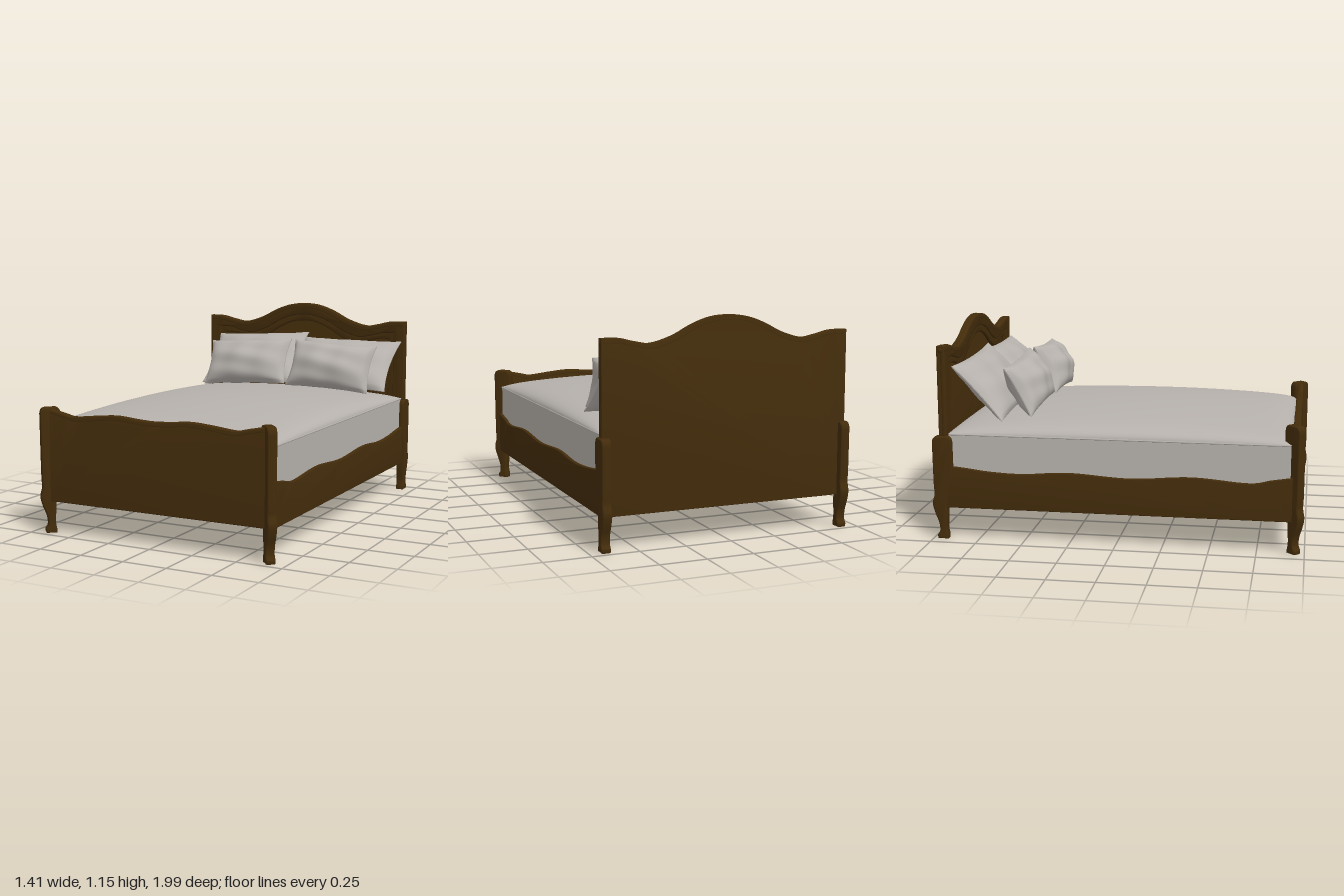
import * as THREE from 'three';
import { toCreasedNormals } from 'three/addons/utils/BufferGeometryUtils.js';

const wood = new THREE.MeshStandardMaterial({ color: 0x432c0b });
wood.name = 'dark wood';
const linen = new THREE.MeshStandardMaterial({ color: 0xb6b1ac });
linen.name = 'grey linen';

const vec = ([x, y]) => new THREE.Vector2(x, y);
const mirrored = (half) => [...half.slice(1).reverse().map(([x, y]) => [-x, y]), ...half];
const wave = (points, n = 64) => new THREE.SplineCurve(points.map(vec)).getPoints(n);

function add(parent, name, geometry, material, x = 0, y = 0, z = 0) {
  const mesh = new THREE.Mesh(geometry, material);
  mesh.name = name;
  mesh.position.set(x, y, z);
  parent.add(mesh);
  return mesh;
}

// Outline under a wavy top edge, down to a straight bottom
function outline(top, bottom) {
  const first = top[0], last = top[top.length - 1];
  return [vec([first.x, bottom]), vec([last.x, bottom]), ...[...top].reverse()];
}

// Bevelled slab whose overall depth is exactly `depth`, starting at local z = 0
function slab(shape, depth, bevel) {
  const geo = new THREE.ExtrudeGeometry(shape, {
    depth: depth - 2 * bevel, bevelThickness: bevel, bevelSize: bevel,
    bevelOffset: -bevel, bevelSegments: 3, curveSegments: 12,
  });
  geo.translate(0, 0, bevel);
  return toCreasedNormals(geo, 0.6);
}

// Rounded moulding following a wavy top edge, stopping just short of its ends
function moulding(top, drop, radius) {
  const path = new THREE.CatmullRomCurve3(top.map((p) => new THREE.Vector3(p.x * 0.97, p.y - drop, 0)));
  return new THREE.TubeGeometry(path, 80, radius, 10);
}

// Post flowing into a curved leg; local +x is the outward side
function postGeometry(height) {
  const shape = new THREE.Shape();
  shape.moveTo(-0.022, 0);
  shape.lineTo(0.034, 0);
  shape.splineThru([[0.037, 0.02], [0.024, 0.045], [0.028, 0.09], [0.05, 0.15], [0.06, 0.2],
    [0.049, 0.25], [0.052, 0.32], [0.054, height - 0.035]].map(vec));
  shape.quadraticCurveTo(0.052, height, 0.02, height);
  shape.lineTo(-0.025, height);
  shape.quadraticCurveTo(-0.052, height, -0.054, height - 0.035);
  shape.splineThru([[-0.054, 0.36], [-0.036, 0.27], [-0.022, 0.2], [-0.02, 0.13],
    [-0.016, 0.06], [-0.022, 0.02], [-0.022, 0]].map(vec));
  const geo = slab(shape, 0.05, 0.008);
  geo.translate(0, 0, -0.025);
  return geo;
}

// Soft pillow: swollen middle, thin seam, drawn-out corners and light creases
function pillowGeometry(w, h, t, seed) {
  const geo = new THREE.BoxGeometry(2, 2, 2, 36, 26, 1);
  const pos = geo.attributes.position;
  for (let i = 0; i < pos.count; i++) {
    const u = pos.getX(i), v = pos.getY(i), side = Math.sign(pos.getZ(i));
    const swell = Math.pow(Math.max(0, (1 - u * u) * (1 - v * v)), 0.5);
    const crease = 1 + 0.12 * Math.sin(5 * u + 3 * v + seed) * Math.sin(4 * v - 3 * u + seed * 2);
    pos.setXYZ(i,
      u * w / 2 * (1 - 0.07 * (1 - v * v)),
      v * h / 2 * (1 - 0.07 * (1 - u * u)),
      side * (0.003 + t / 2 * swell * crease));
  }
  geo.computeVertexNormals();
  return geo;
}

export function createModel() {
  const bed = new THREE.Group();
  bed.name = 'bed';

  // Headboard: back panel, stepped frame around an arched recess, top moulding
  const arch = mirrored([[0, 1.15], [0.1, 1.14], [0.2, 1.105], [0.3, 1.055],
    [0.42, 1.022], [0.52, 1.035], [0.6, 1.053], [0.68, 1.055]]);
  const archTop = (inset) => wave(arch.map(([x, y]) => [x * (0.68 - inset) / 0.68, y - inset]));
  const headboard = new THREE.Group();
  headboard.name = 'headboard';
  bed.add(headboard);
  add(headboard, 'headboardPanel', slab(new THREE.Shape(outline(archTop(0), 0.175)), 0.02, 0.002),
    wood, 0, 0, -0.955);
  [['outerFrame', 0, 0.072, 0.024], ['innerFrame', 0.066, 0.11, 0.018]].forEach(([name, outer, inner, depth]) => {
    const ring = new THREE.Shape(outline(archTop(outer), outer ? 0.45 : 0.175));
    ring.holes.push(new THREE.Path(outline(archTop(inner), 0.5)));
    add(headboard, name, slab(ring, depth, 0.007), wood, 0, 0, -0.936);
  });
  add(headboard, 'headboardMoulding', moulding(archTop(0), 0.022, 0.023), wood, 0, 0, -0.933);
  for (const s of [-1, 1]) {
    add(headboard, 'mouldingEnd', new THREE.SphereGeometry(0.023, 12, 8), wood, s * 0.662, 1.033, -0.933);
  }

  // Footboard with a gently waving top
  const footTop = wave(mirrored([[0, 0.655], [0.1, 0.66], [0.22, 0.669], [0.34, 0.66],
    [0.48, 0.646], [0.56, 0.66], [0.65, 0.678]]));
  const footboard = new THREE.Group();
  footboard.name = 'footboard';
  bed.add(footboard);
  add(footboard, 'footboardPanel', slab(new THREE.Shape(outline(footTop, 0.175)), 0.036, 0.005), wood, 0, 0, 0.926);
  add(footboard, 'footboardMoulding', moulding(footTop, 0.019, 0.0195), wood, 0, 0, 0.944);

  // Side rails with scalloped tops
  const railTop = wave([[-0.92, 0.405], [-0.82, 0.396], [-0.68, 0.38], [-0.5, 0.374], [-0.25, 0.39],
    [0.08, 0.372], [0.4, 0.392], [0.7, 0.372], [0.82, 0.392], [0.93, 0.41]]);
  const railGeo = slab(new THREE.Shape(outline(railTop, 0.175)), 0.03, 0.004);
  for (const right of [0.684, -0.654]) {
    add(bed, 'sideRail', railGeo, wood, right).rotation.y = -Math.PI / 2;
  }

  // Corner posts: front pair turned diagonally, back pair facing rearwards
  const frontPost = postGeometry(0.685), backPost = postGeometry(0.57);
  for (const s of [-1, 1]) {
    add(bed, 'frontPost', frontPost, wood, s * 0.65, 0, 0.938).rotation.y = s > 0 ? -Math.PI / 4 : -3 * Math.PI / 4;
    add(bed, 'backPost', backPost, wood, s * 0.667, 0, -0.94).rotation.y = Math.PI / 2;
  }

  // Mattress body, its underside raised inside the rails
  add(bed, 'mattress', new THREE.BoxGeometry(1.332, 0.33, 1.826), linen, 0, 0.415, 0.007);

  // Domed cover over the mattress
  const cover = new THREE.PlaneGeometry(2, 2, 48, 64);
  cover.rotateX(-Math.PI / 2);
  const pos = cover.attributes.position;
  const dome = (t) => 0.5 * Math.sqrt(Math.max(0, 1 - t ** 12)) + 0.5 * (1 - t * t);
  for (let i = 0; i < pos.count; i++) {
    // Crowd the grid towards the edges, where the cover curves most
    const u = Math.sin(pos.getX(i) * Math.PI / 2), v = Math.sin(pos.getZ(i) * Math.PI / 2);
    pos.setXYZ(i, u * 0.668, 0.58 + 0.107 * dome(u) * dome(v - 0.08 * (1 - v * v)), 0.007 + v * 0.915);
  }
  cover.computeVertexNormals();
  add(bed, 'mattressCover', cover, linen);

  // Piping around the cover seam
  const corners = [[-0.666, -0.904], [-0.666, 0.918], [0.666, 0.918], [0.666, -0.904]]
    .map(([x, z]) => new THREE.Vector3(x, 0.578, z));
  corners.forEach((corner, i) => {
    const edge = new THREE.LineCurve3(corner, corners[(i + 1) % 4]);
    add(bed, 'piping', new THREE.TubeGeometry(edge, 1, 0.005, 8), linen);
  });

  // Pillows: [name, x, y, z, width, height, thickness, tilt, yaw, roll]
  [
    ['backLeftPillow', 0.335, 0.795, -0.77, 0.65, 0.39, 0.14, -0.78, 0, -0.01],
    ['backRightPillow', -0.268, 0.805, -0.755, 0.65, 0.4, 0.14, -0.74, -0.06, 0.02],
    ['frontLeftPillow', 0.34, 0.802, -0.55, 0.53, 0.3, 0.2, -0.45, 0.04, -0.03],
    ['frontRightPillow', -0.225, 0.8, -0.56, 0.56, 0.3, 0.18, -0.5, -0.04, 0.05],
  ].forEach(([name, x, y, z, w, h, t, tilt, yaw, roll], i) => {
    add(bed, name, pillowGeometry(w, h, t, i * 1.7), linen, x, y, z).rotation.set(tilt, yaw, roll);
  });

  return bed;
}
